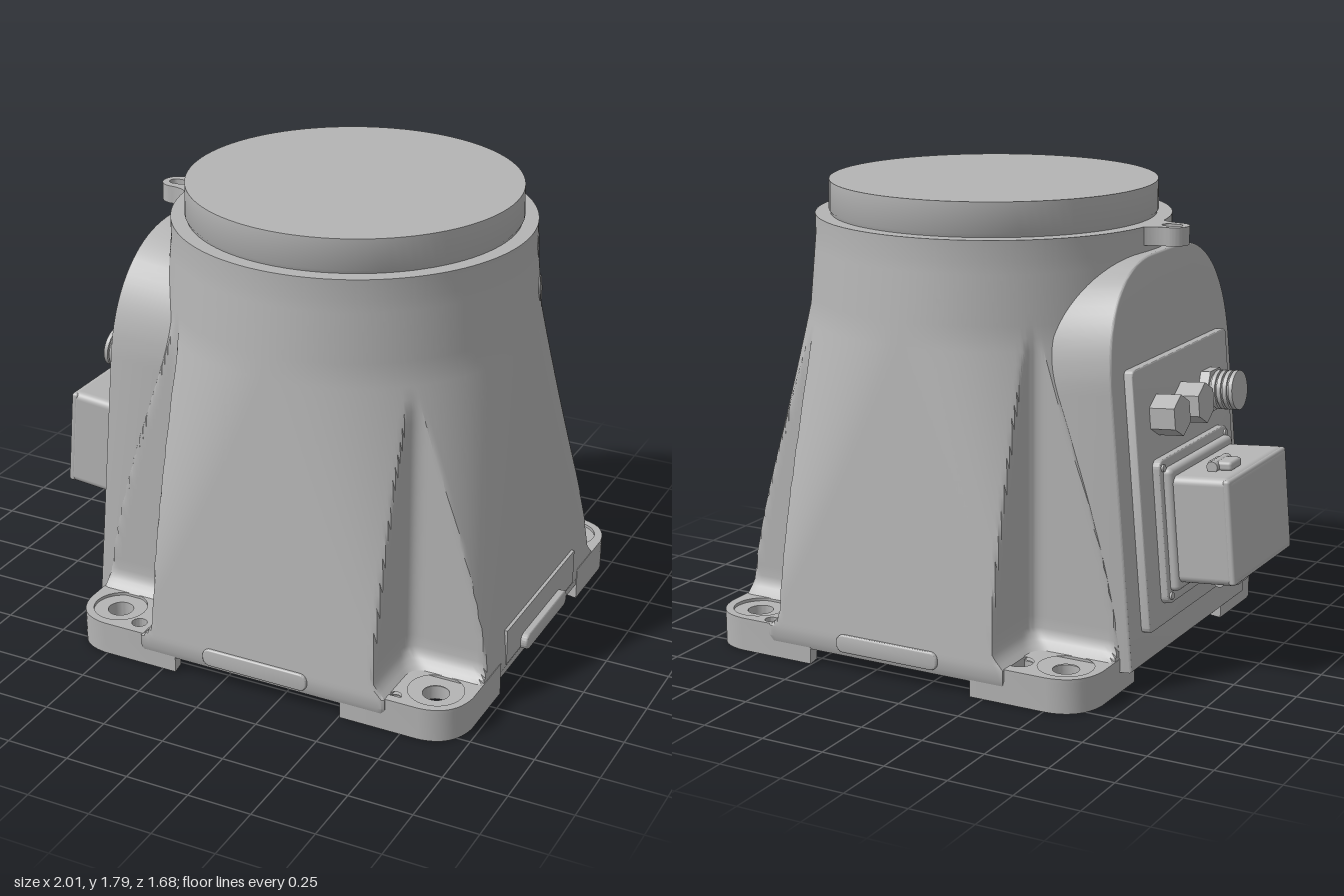
import * as THREE from 'three';
import { toCreasedNormals } from 'three/addons/utils/BufferGeometryUtils.js';
import { RoundedBoxGeometry } from 'three/addons/geometries/RoundedBoxGeometry.js';

const CX = 0.155; // axis of the round top

export function createModel() {
  const root = new THREE.Group();
  const grey = new THREE.MeshStandardMaterial({ color: 0xb4b4b4 });
  grey.name = 'cast grey';
  const dark = new THREE.MeshStandardMaterial({ color: 0x8a8a8a });
  dark.name = 'bore grey';

  const add = (parent, name, geo, x = 0, y = 0, z = 0, mat = grey) => {
    const m = new THREE.Mesh(geo, mat);
    m.name = name;
    m.position.set(x, y, z);
    parent.add(m);
    return m;
  };
  const roundRect = (x0, x1, y0, y1, r) => {
    const s = new THREE.Shape();
    s.moveTo(x0 + r, y0).lineTo(x1 - r, y0).absarc(x1 - r, y0 + r, r, -Math.PI / 2, 0);
    s.lineTo(x1, y1 - r).absarc(x1 - r, y1 - r, r, 0, Math.PI / 2);
    s.lineTo(x0 + r, y1).absarc(x0 + r, y1 - r, r, Math.PI / 2, Math.PI);
    s.lineTo(x0, y0 + r).absarc(x0 + r, y0 + r, r, Math.PI, Math.PI * 1.5);
    return s;
  };
  const hole = (s, x, y, r) => s.holes.push(new THREE.Path().absarc(x, y, r, 0, Math.PI * 2, true));
  const extrude = (s, depth, bevel = 0) => new THREE.ExtrudeGeometry(s, {
    depth: depth - 2 * bevel, curveSegments: 20, bevelEnabled: bevel > 0,
    bevelSize: bevel, bevelThickness: bevel, bevelOffset: -bevel, bevelSegments: 3,
  }).translate(0, 0, bevel);
  const smooth = (g) => toCreasedNormals(g, 0.6);
  // horizontal slab: shape y becomes z, hanging down from its top
  const slab = (s, depth) => smooth(extrude(s, depth).rotateX(Math.PI / 2));
  // upright plate facing -x: shape x becomes z
  const plate = (s, depth, bevel) => smooth(extrude(s, depth, bevel).rotateY(-Math.PI / 2));

  // Main casting: rounded square blending into a circle, with corner notches
  const outerRadius = (c, s, hx, hz, rc) => {
    if (s * hx <= c * (hz - rc)) return hx / c;
    if (c * hz <= s * (hx - rc)) return hz / s;
    const px = hx - rc, pz = hz - rc, b = c * px + s * pz;
    return b + Math.sqrt(Math.max(0, b * b - px * px - pz * pz + rc * rc));
  };
  const bodyRadius = (t, y) => {
    const c = Math.max(Math.abs(Math.cos(t)), 1e-5), s = Math.max(Math.abs(Math.sin(t)), 1e-5);
    const k = THREE.MathUtils.clamp((1.58 - y) / 1.45, 0, 1);
    const hx = 0.69 + 0.125 * k, hz = 0.69 + 0.14 * k;
    const round = THREE.MathUtils.clamp((y - 0.1) / 1.2, 0, 1);
    const outer = outerRadius(c, s, hx, hz, THREE.MathUtils.lerp(0.28, Math.min(hx, hz), round));
    const foot = 0.05 * Math.min(1, Math.max(0, (0.2 - y) / 0.07)) ** 2;
    const a = ((Math.cos(t) > 0 ? 0.485 : 0.445) + foot) / c, b = (0.53 + foot) / s;
    const h = Math.max(0.09 - Math.abs(a - b), 0);
    return Math.min(outer, Math.max(a, b) + h * h / 0.36);
  };
  const rows = [[0.06, 0.985], [0.09, 1], [0.13, 1], [0.145, 1], [0.16, 1], [0.18, 1], [0.2, 1]];
  for (let i = 1; i <= 30; i++) rows.push([0.2 + 1.38 * i / 30, 1]);
  rows.push([1.66, 1], [1.66, 0.9]);
  const N = 480, pos = [], idx = [];
  rows.forEach(([y, f], j) => {
    for (let i = 0; i <= N; i++) {
      const t = (i % N) / N * Math.PI * 2, r = bodyRadius(t, y) * f;
      pos.push(CX + r * Math.cos(t), y, r * Math.sin(t));
      if (j && i) {
        const p = j * (N + 1) + i, q = p - N - 1;
        idx.push(q - 1, p - 1, p, q - 1, p, q);
      }
    }
  });
  const body = new THREE.BufferGeometry();
  body.setAttribute('position', new THREE.Float32BufferAttribute(pos, 3));
  body.setIndex(idx);
  add(root, 'mainCasting', smooth(body));

  // Round cap on top
  const cap = [[0, 1.6], [0.625, 1.6], [0.632, 1.665], [0.638, 1.675], [0.635, 1.79], [0, 1.79]];
  add(root, 'topCap', smooth(new THREE.LatheGeometry(cap.map((p) => new THREE.Vector2(...p)), 96)), CX);

  // Base slab and four feet with bolt holes
  const corners = [[1, 1, 0.555, 0.78, 0.025], [1, -1, 0.555, 0.78, 0.025],
    [-1, 1, 0.545, 0.755, 0.03], [-1, -1, 0.505, 0.72, 0.052]];
  const base = roundRect(-0.812, 0.812, -0.815, 0.815, 0.15);
  for (const [sx, sz, u, v, r] of corners) {
    hole(base, sx * 0.675, sz * 0.68, 0.055);
    hole(base, sx * u, sz * v, r + 0.004);
    const footShape = (bolt) => {
      const s = new THREE.Shape();
      s.moveTo(0.35, 0.82).lineTo(0.665, 0.82).quadraticCurveTo(0.8, 0.81, 0.817, 0.67);
      s.lineTo(0.817, 0.4).lineTo(0.77, 0.41).quadraticCurveTo(0.73, 0.5, 0.63, 0.54);
      s.quadraticCurveTo(0.48, 0.58, 0.42, 0.68).quadraticCurveTo(0.4, 0.74, 0.36, 0.76);
      const m = new THREE.Shape(s.getPoints(12).map((p) => new THREE.Vector2(p.x * sx, p.y * sz)));
      hole(m, sx * 0.675, sz * 0.68, bolt);
      hole(m, sx * u, sz * v, r);
      return m;
    };
    add(root, 'foot', slab(footShape(0.05), 0.12), CX, 0.12);
    add(root, 'footCounterbore', slab(footShape(0.105), 0.012), CX, 0.132);
  }
  add(root, 'baseSlab', slab(base, 0.055), CX, 0.115);
  add(root, 'undersideCover', new THREE.BoxGeometry(0.45, 0.02, 0.9), 0.055, 0.053, 0);

  // Pill-shaped lips low on three sides
  for (const side of [1, -1]) {
    const g = extrude(roundRect(-0.22, 0.22, 0.08, 0.15, 0.03), 0.05, 0.006);
    add(root, 'edgeLip', smooth(g), CX, 0, side > 0 ? 0.79 : -0.84);
  }
  add(root, 'sidePad', new THREE.BoxGeometry(0.05, 0.145, 0.7), 0.948, 0.172, 0);
  add(root, 'sideLip', plate(roundRect(-0.21, 0.21, 0.085, 0.15, 0.03), 0.06, 0.006), 1.0);

  // Two bores high on the left side
  for (const [y, z, r] of [[1.56, -0.235, 0.69], [1.4, -0.21, 0.706]]) {
    const x = Math.sqrt(r * r - z * z);
    const n = new THREE.Vector3(x / r, 0.07, z / r).normalize();
    const m = add(root, 'sideBore', new THREE.CylinderGeometry(0.05, 0.05, 0.008, 32), CX + x, y, z, dark);
    m.quaternion.setFromUnitVectors(new THREE.Vector3(0, 1, 0), n);
  }

  // Lug with a slot beside the collar
  const lug = new THREE.Shape();
  lug.moveTo(-0.5, -0.12).quadraticCurveTo(-0.54, -0.06, -0.61, -0.06);
  lug.absarc(-0.61, 0, 0.06, -Math.PI / 2, Math.PI / 2, true);
  lug.quadraticCurveTo(-0.54, 0.06, -0.5, 0.12);
  const slot = new THREE.Path();
  slot.absarc(-0.62, 0, 0.025, Math.PI / 2, Math.PI * 1.5).absarc(-0.59, 0, 0.025, -Math.PI / 2, Math.PI / 2);
  lug.holes.push(slot);
  add(root, 'lug', slab(lug, 0.07), 0, 1.66);

  // Tilted connection side: arched housing, plates and connectors
  const panel = new THREE.Group();
  panel.name = 'connectionPanel';
  panel.position.set(-0.71, 0.085, 0);
  panel.rotation.z = -0.087;
  root.add(panel);
  const arch = new THREE.Shape();
  arch.moveTo(-0.525, 0).lineTo(0.525, 0).lineTo(0.525, 1.04);
  arch.bezierCurveTo(0.525, 1.33, 0.36, 1.49, 0.12, 1.49).lineTo(-0.12, 1.49);
  arch.bezierCurveTo(-0.36, 1.49, -0.525, 1.33, -0.525, 1.04);
  add(panel, 'archedHousing', plate(arch, 0.5, 0.008), 0.5);
  add(panel, 'connectorPlate', plate(roundRect(-0.42, 0.42, 0.12, 1.11, 0.02), 0.06, 0.005), 0.025);
  add(panel, 'boxFlange', plate(roundRect(-0.31, 0.31, 0.2, 0.75, 0.03), 0.04, 0.005), -0.025);
  add(panel, 'boxCollar', new RoundedBoxGeometry(0.05, 0.47, 0.57, 3, 0.02), -0.075, 0.48, 0);
  add(panel, 'connectorBox', new RoundedBoxGeometry(0.25, 0.41, 0.55, 4, 0.03), -0.2, 0.48, 0);
  add(panel, 'boxCover', new RoundedBoxGeometry(0.03, 0.4, 0.55, 3, 0.012), -0.308, 0.48, 0);
  for (const y of [0.26, 0.7]) {
    add(panel, 'latch', new RoundedBoxGeometry(0.1, 0.035, 0.1, 2, 0.012), -0.23, y, -0.1);
    add(panel, 'latchPin', new THREE.CylinderGeometry(0.022, 0.022, 0.14, 16).rotateX(Math.PI / 2), -0.21, y, -0.1);
    for (const z of [-0.285, 0.285]) {
      add(panel, 'flangeScrew', new THREE.CylinderGeometry(0.014, 0.014, 0.012, 16).rotateZ(Math.PI / 2), -0.067, y - 0.005 + (y > 0.5 ? 0.025 : -0.025), z);
    }
  }
  // Hexagonal plugs and the round threaded connector
  const rod = (r, len, sides) => new THREE.CylinderGeometry(r, r, len, sides).rotateZ(Math.PI / 2);
  for (const z of [-0.235, -0.02]) {
    const hex = add(panel, 'hexPlug', smooth(rod(0.078, 0.1, 6)), -0.085, 0.91, z);
    hex.rotation.x = Math.PI / 6;
  }
  add(panel, 'connectorNut', smooth(rod(0.09, 0.04, 6)), -0.055, 0.91, 0.21);
  add(panel, 'connectorBarrel', smooth(rod(0.066, 0.1, 32)), -0.11, 0.91, 0.21);
  for (let i = 0; i < 4; i++) {
    add(panel, 'connectorRib', smooth(rod(0.076, 0.016, 32)), -0.092 - i * 0.024, 0.91, 0.21);
  }
  return root;
}
